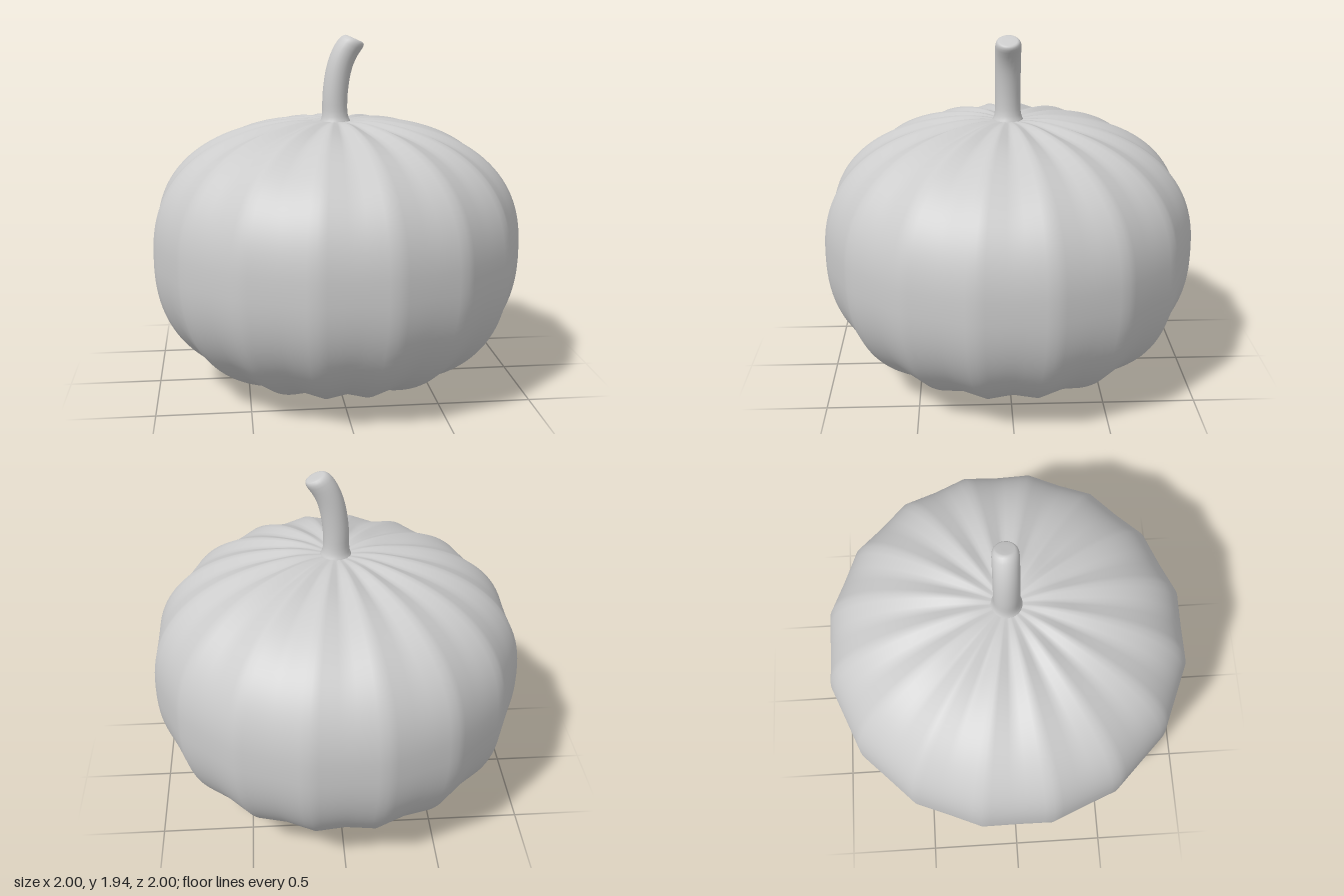
import * as THREE from 'three';

const RIBS = 16;
const SEGMENTS_PER_RIB = 8;

// Smooth surface from closed rings: point(angle, row) returns [x, y, z].
function loft(name, around, rows, point) {
  const positions = [];
  const index = [];
  for (let j = 0; j <= rows; j++) {
    for (let i = 0; i < around; i++) {
      positions.push(...point((i / around) * Math.PI * 2, j));
      if (j === rows) continue;
      const a = j * around + i;
      const b = j * around + ((i + 1) % around);
      index.push(a, a + around, b, b, a + around, b + around);
    }
  }
  const geometry = new THREE.BufferGeometry();
  geometry.setAttribute('position', new THREE.Float32BufferAttribute(positions, 3));
  geometry.setIndex(index);
  geometry.computeVertexNormals();
  const mesh = new THREE.Mesh(geometry, new THREE.MeshStandardMaterial({ color: 0xcccccc }));
  mesh.name = name;
  return mesh;
}

// Ribbed body: flat panels at the equator, folding into shallow grooves towards the poles
function createBody() {
  const rows = 64;
  const half = Math.PI / RIBS;
  const power = 2 / 2.4;
  return loft('ribbedBody', RIBS * SEGMENTS_PER_RIB, rows, (angle, j) => {
    const phi = (j / rows - 0.5) * Math.PI;
    const c = Math.max(Math.cos(phi), 0);
    const s = Math.sin(phi);
    const r = Math.pow(c, power);
    const dip = 0.025 * Math.exp(-((r / 0.15) ** 2));
    const height = Math.pow(Math.abs(s), power);
    const y = s > 0 ? 0.78 + 0.715 * height - dip : 0.78 - 0.79 * height + dip;

    // 0 at a groove, half at a ridge
    const offset = Math.abs(angle - Math.round(angle / (2 * half)) * 2 * half);
    const panel = (1.02 * Math.cos(half)) / Math.cos(offset);
    const fade = Math.pow(Math.abs(s), 1.5) * THREE.MathUtils.smoothstep(r, 0.03, 0.4);
    const depth = 0.028 * fade * (1 - offset / half);
    const radius = Math.max(r * panel - depth * c, 0);
    return [radius * Math.cos(angle), y - depth * s, radius * Math.sin(angle)];
  });
}

// Bent stem with a slightly flared foot and a rounded, slanted end
function createStem() {
  const curve = new THREE.CatmullRomCurve3([
    new THREE.Vector3(-0.002, 1.43, 0),
    new THREE.Vector3(-0.002, 1.62, 0),
    new THREE.Vector3(0.022, 1.77, 0),
    new THREE.Vector3(0.057, 1.855, 0),
    new THREE.Vector3(0.104, 1.919, 0),
  ]);
  // [position along the curve, radius]
  const rings = [[0, 0.1], [0.06, 0.09], [0.1, 0.079], [0.14, 0.072]];
  for (let t = 0.2; t < 0.93; t += 0.06) rings.push([t, 0.069]);
  rings.push([0.955, 0.067], [0.98, 0.062], [0.995, 0.055], [1, 0.046], [1, 0.02], [1, 0]);
  return loft('stem', 24, rings.length - 1, (angle, j) => {
    const [t, radius] = rings[j];
    const p = curve.getPointAt(t);
    const tangent = curve.getTangentAt(t);
    const tilt = Math.min(Math.atan2(tangent.x, tangent.y), 0.42);
    const u = radius * Math.cos(angle);
    return [p.x + Math.cos(tilt) * u, p.y - Math.sin(tilt) * u, radius * Math.sin(angle)];
  });
}

export function createModel() {
  const model = new THREE.Group();
  model.name = 'pumpkin';
  model.add(createBody(), createStem());
  return model;
}
